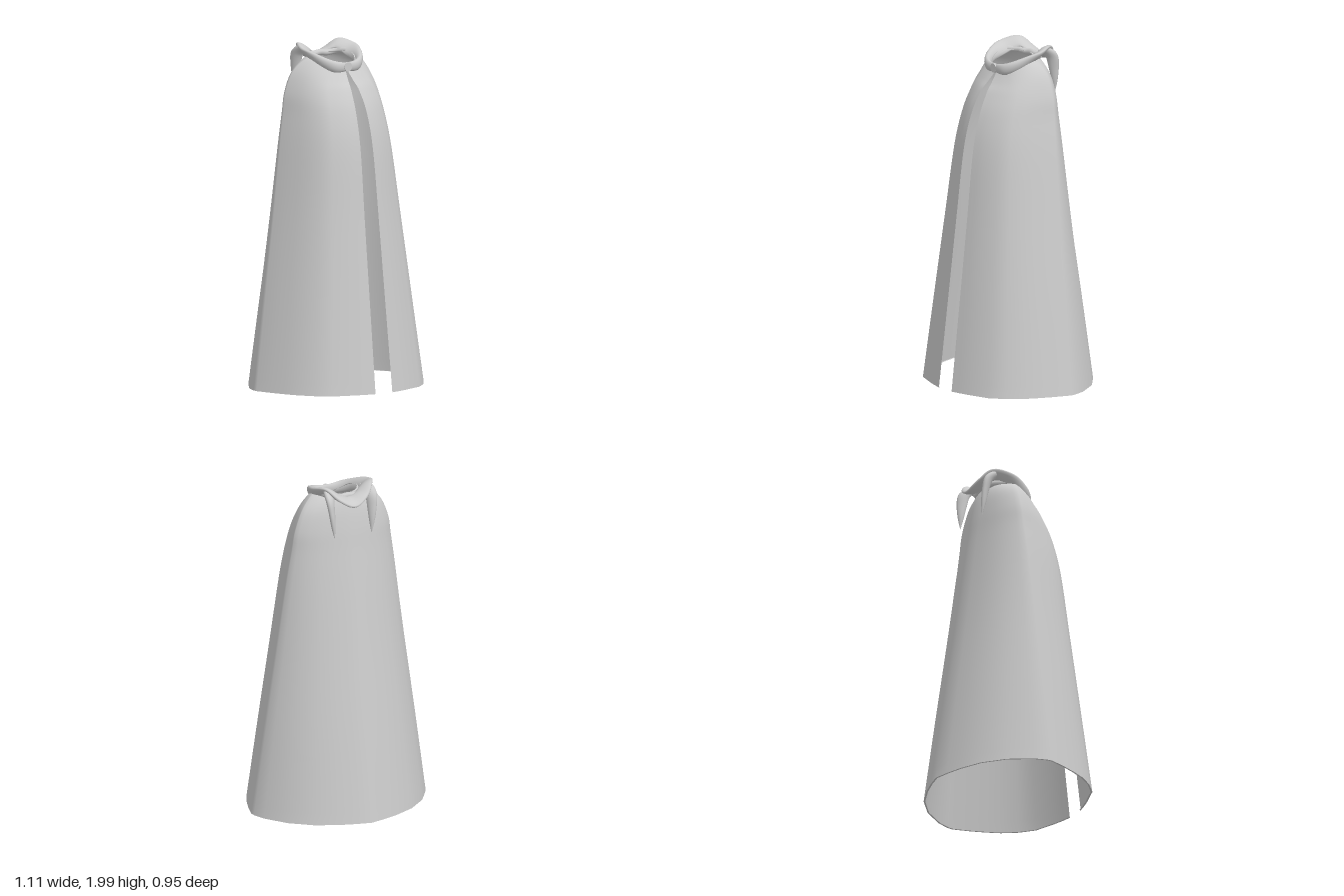
import * as THREE from 'three';

const material = new THREE.MeshStandardMaterial({ color: 0xcccccc, side: THREE.DoubleSide });

// Catmull-Rom sampling of rows of numbers, t in 0..1
function sample(keys, t, closed = false) {
  const n = keys.length, spans = closed ? n : n - 1;
  const i = Math.min(Math.floor(t * spans), spans - 1), f = t * spans - i;
  const at = k => closed ? keys[(k + n) % n] : keys[Math.max(0, Math.min(n - 1, k))];
  const [a, b, c, d] = [at(i - 1), at(i), at(i + 1), at(i + 2)];
  return b.map((_, k) => 0.5 * (2 * b[k] + (c[k] - a[k]) * f
    + (2 * a[k] - 5 * b[k] + 4 * c[k] - d[k]) * f * f
    + (3 * b[k] - a[k] - 3 * c[k] + d[k]) * f * f * f));
}

// Skin a list of cross-sections (arrays of [x, y, z])
function skin(name, sections, wrapSection = false, wrapEnds = false) {
  const m = sections[0].length, n = sections.length, index = [];
  for (let i = 0; i < (wrapEnds ? n : n - 1); i++) {
    for (let j = 0; j < (wrapSection ? m : m - 1); j++) {
      const a = i * m + j, b = i * m + (j + 1) % m;
      const c = ((i + 1) % n) * m + j, d = ((i + 1) % n) * m + (j + 1) % m;
      index.push(a, b, d, a, d, c);
    }
  }
  const g = new THREE.BufferGeometry();
  g.setAttribute('position', new THREE.Float32BufferAttribute(sections.flat(2), 3));
  g.setIndex(index);
  g.computeVertexNormals();
  const mesh = new THREE.Mesh(g, material);
  mesh.name = name;
  return mesh;
}

// Half outline of the cloak, from the front opening round to the back seam
const outline = [[0, 1], [0.11, 0.975], [0.22, 0.943], [0.483, 0.848], [0.65, 0.707], [0.783, 0.537],
  [0.87, 0.37], [0.94, 0.2], [1, 0], [0.997, -0.07], [0.95, -0.24], [0.79, -0.53], [0.57, -0.755],
  [0.34, -0.885], [0.16, -0.955], [0, -1]];

// Cloak levels: front z, front y, side x, side z, side y, back z, back y, half opening
const levels = [
  [0.475, 0, 0.553, -0.02, 0, -0.475, 0, 0.06],
  [0.415, 0.5, 0.483, -0.035, 0.5, -0.4, 0.5, 0.055],
  [0.355, 1.0, 0.41, -0.05, 1.0, -0.322, 1.0, 0.05],
  [0.307, 1.4, 0.354, -0.065, 1.4, -0.262, 1.4, 0.044],
  [0.255, 1.61, 0.322, -0.075, 1.6, -0.231, 1.6, 0.038],
  [0.195, 1.735, 0.303, -0.08, 1.72, -0.212, 1.73, 0.028],
  [0.15, 1.79, 0.257, -0.075, 1.835, -0.19, 1.84, 0.018],
  [0.118, 1.83, 0.19, -0.05, 1.905, -0.165, 1.91, 0.01],
  [0.105, 1.85, 0.125, -0.02, 1.925, -0.14, 1.925, 0.006],
];

function cloakRing([fz, fy, w, sz, sy, bz, by, gap]) {
  const half = outline.map(([u, v]) => {
    const front = v > 0, k = Math.abs(v);
    return [w * u + (front ? gap * v * v : 0),
      sy + ((front ? fy : by) - sy) * k * k,
      sz + ((front ? fz : bz) - sz) * k];
  });
  const mirrored = half.slice(0, -1).reverse().map(([x, y, z]) => [-x, y, z]);
  return [...half, ...mirrored];
}

// Flat oval band along stations [x, y, z, halfWidth, halfThickness, tilt];
// tilt turns the width from outward (0) to upright (90)
function band(name, stations, steps, closed) {
  const sides = 14, sections = [];
  const point = t => new THREE.Vector3(...sample(stations, t, closed).slice(0, 3));
  for (let i = 0; i < (closed ? steps : steps + 1); i++) {
    const t = i / steps, e = 0.004;
    const [x, y, z, w, h, tilt] = sample(stations, t, closed);
    const t0 = closed ? (t - e + 1) % 1 : Math.max(0, t - e);
    const t1 = closed ? (t + e) % 1 : Math.min(1, t + e);
    const tangent = point(t1).sub(point(t0)).normalize();
    const a = THREE.MathUtils.degToRad(tilt);
    const wide = new THREE.Vector3(x, 0, z + 0.06).normalize().multiplyScalar(Math.cos(a));
    wide.y = Math.sin(a);
    wide.addScaledVector(tangent, -wide.dot(tangent)).normalize();
    const thick = new THREE.Vector3().crossVectors(tangent, wide);
    sections.push(Array.from({ length: sides }, (_, j) => {
      const q = j / sides * Math.PI * 2;
      return new THREE.Vector3(x, y, z).addScaledVector(wide, w * Math.cos(q))
        .addScaledVector(thick, h * Math.sin(q)).toArray();
    }));
  }
  return skin(name, sections, true, closed);
}

const mirrorX = ([x, ...rest]) => [-x, ...rest];

export function createModel() {
  const model = new THREE.Group();
  model.name = 'cloak';

  // Main cloth, open at the front and at the neck
  const rings = Array.from({ length: 41 }, (_, i) => cloakRing(sample(levels, i / 40)));
  model.add(skin('cloakBody', rings));

  // Narrow turned-in edge along the hem
  const inner = levels[0].slice();
  inner[0] -= 0.01; inner[2] -= 0.01; inner[5] += 0.01;
  model.add(skin('hemFold', [cloakRing(levels[0]), cloakRing(inner)]));

  // Twisted scarf around the neck, high at the sides and sagging behind
  const half = [
    [0, 1.87, 0.112, 0.026, 0.01, 90],
    [0.08, 1.874, 0.1, 0.034, 0.02, 85],
    [0.135, 1.903, 0.035, 0.036, 0.022, 65],
    [0.153, 1.938, -0.07, 0.048, 0.017, 40],
    [0.122, 1.962, -0.155, 0.046, 0.016, 32],
    [0.07, 1.925, -0.2, 0.048, 0.016, 0],
    [0, 1.897, -0.218, 0.052, 0.016, -20],
  ];
  const loop = [...half, ...half.slice(1, -1).reverse().map(mirrorX)];
  model.add(band('scarf', loop, 96, true));

  // Inner wrap of the scarf across the nape
  const nape = [[0.135, 1.93, -0.08], [0.1, 1.925, -0.135], [0.05, 1.915, -0.155], [0, 1.92, -0.16]];
  const napePath = [...nape, ...nape.slice(0, -1).reverse().map(mirrorX)].map(p => new THREE.Vector3(...p));
  const wrap = new THREE.Mesh(
    new THREE.TubeGeometry(new THREE.CatmullRomCurve3(napePath), 40, 0.018, 10), material);
  wrap.name = 'napeWrap';
  model.add(wrap);

  // Pointed scarf ends hanging at the back
  const tail = [
    [0.125, 1.965, -0.15, 0.03, 0.018, 0],
    [0.133, 1.92, -0.2, 0.036, 0.022, 0],
    [0.13, 1.85, -0.218, 0.03, 0.018, 0],
    [0.125, 1.77, -0.228, 0.018, 0.013, 0],
    [0.12, 1.695, -0.234, 0.001, 0.001, 0],
  ];
  model.add(band('leftScarfEnd', tail, 24, false));
  model.add(band('rightScarfEnd', tail.map(mirrorX), 24, false));

  // Round clasp at the throat
  const clasp = new THREE.Mesh(new THREE.CylinderGeometry(0.027, 0.027, 0.014, 20), material);
  clasp.name = 'clasp';
  clasp.rotation.x = Math.PI / 2;
  clasp.position.set(0, 1.87, 0.118);
  model.add(clasp);

  return model;
}
